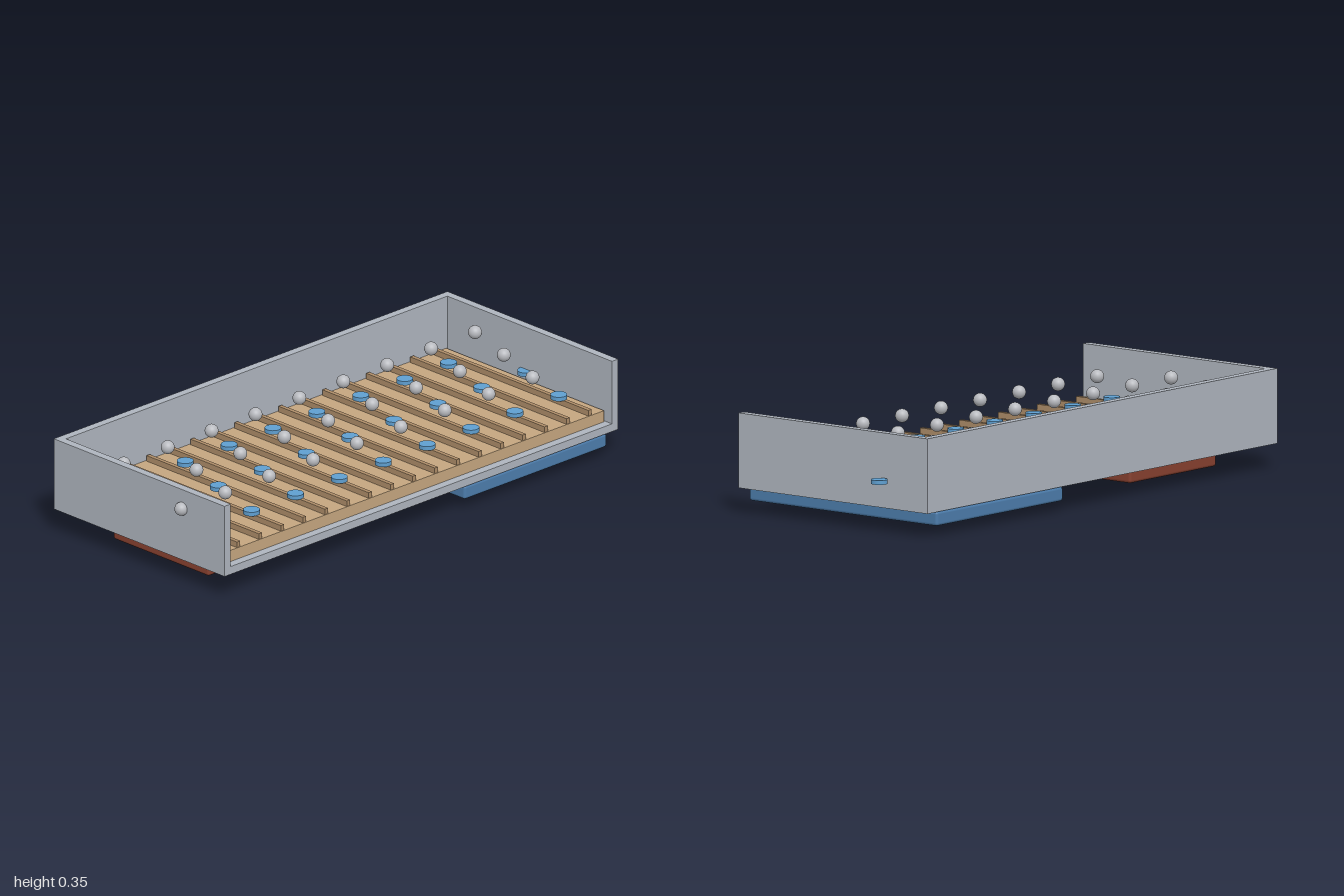
import * as THREE from 'three';
import { RoundedBoxGeometry } from 'three/addons/geometries/RoundedBoxGeometry.js';

const material = (name, color) => {
  const m = new THREE.MeshStandardMaterial({ color });
  m.name = name;
  return m;
};

export function createModel() {
  const model = new THREE.Group();
  model.name = 'trayModel';

  const grey = material('trayGrey', 0xaeb4bd);
  const wood = material('boardWood', 0xc4a57f);
  const ridgeWood = material('ridgeWood', 0xac8c68);
  const steel = material('ballSteel', 0xb8babf);
  const lightBlue = material('discBlue', 0x5f9fd0);
  const blue = material('padBlue', 0x4c7cab);
  const red = material('blockRed', 0x87402f);

  const add = (name, geometry, mat, x = 0, y = 0, z = 0, parent = model) => {
    const mesh = new THREE.Mesh(geometry, mat);
    mesh.name = name;
    mesh.position.set(x, y, z);
    parent.add(mesh);
    return mesh;
  };

  // Box given by its minimum and maximum on each axis; a radius rounds its edges
  const box = (name, mat, [x0, x1], [y0, y1], [z0, z1], radius = 0, parent = model) => {
    const size = [x1 - x0, y1 - y0, z1 - z0];
    const geometry = radius
      ? new RoundedBoxGeometry(...size, 3, radius)
      : new THREE.BoxGeometry(...size);
    return add(name, geometry, mat, (x0 + x1) / 2, (y0 + y1) / 2, (z0 + z1) / 2, parent);
  };

  const group = (name) => {
    const g = new THREE.Group();
    g.name = name;
    model.add(g);
    return g;
  };

  // Tray open at the front and top
  const tray = group('tray');
  box('trayFloor', grey, [-0.97, 0.935], [0.087, 0.116], [-0.425, 0.425], 0, tray);
  box('backWall', grey, [-0.97, 0.935], [0.116, 0.351], [-0.425, -0.395], 0, tray);
  box('rightWall', grey, [-0.97, -0.94], [0.116, 0.351], [-0.395, 0.425], 0, tray);
  box('leftWall', grey, [0.905, 0.935], [0.116, 0.351], [-0.395, 0.425], 0, tray);

  // Board with evenly spaced ridges
  box('board', wood, [-0.93, 0.898], [0.116, 0.158], [-0.393, 0.392]);
  const ridges = group('ridges');
  const pitch = 0.1063;
  for (let i = 0; i < 17; i++) {
    const x = -0.868 + i * pitch;
    box('ridge', ridgeWood, [x - 0.008, x + 0.008], [0.158, 0.179], [-0.388, 0.39], 0, ridges);
  }

  // Discs and balls staggered over three rows
  const discs = group('discs');
  const balls = group('balls');
  const discGeometry = new THREE.CylinderGeometry(0.029, 0.029, 0.015, 32);
  const ballGeometry = new THREE.SphereGeometry(0.024, 24, 16);
  const step = 0.0708;
  for (let i = 0; i < 27; i++) {
    const row = 1 - (i % 3);
    add('disc', discGeometry, lightBlue, -0.87 + i * step, 0.186, row * 0.238, discs);
    add('ball', ballGeometry, steel, -0.976 + i * step, 0.281, row * 0.216, balls);
  }

  // Rounded blocks under the tray
  box('bluePad', blue, [0.193, 0.882], [0.036, 0.087], [-0.424, 0.424], 0.01);
  box('redBlock', red, [-0.866, -0.395], [0, 0.092], [-0.238, 0.238], 0.01);

  return model;
}
